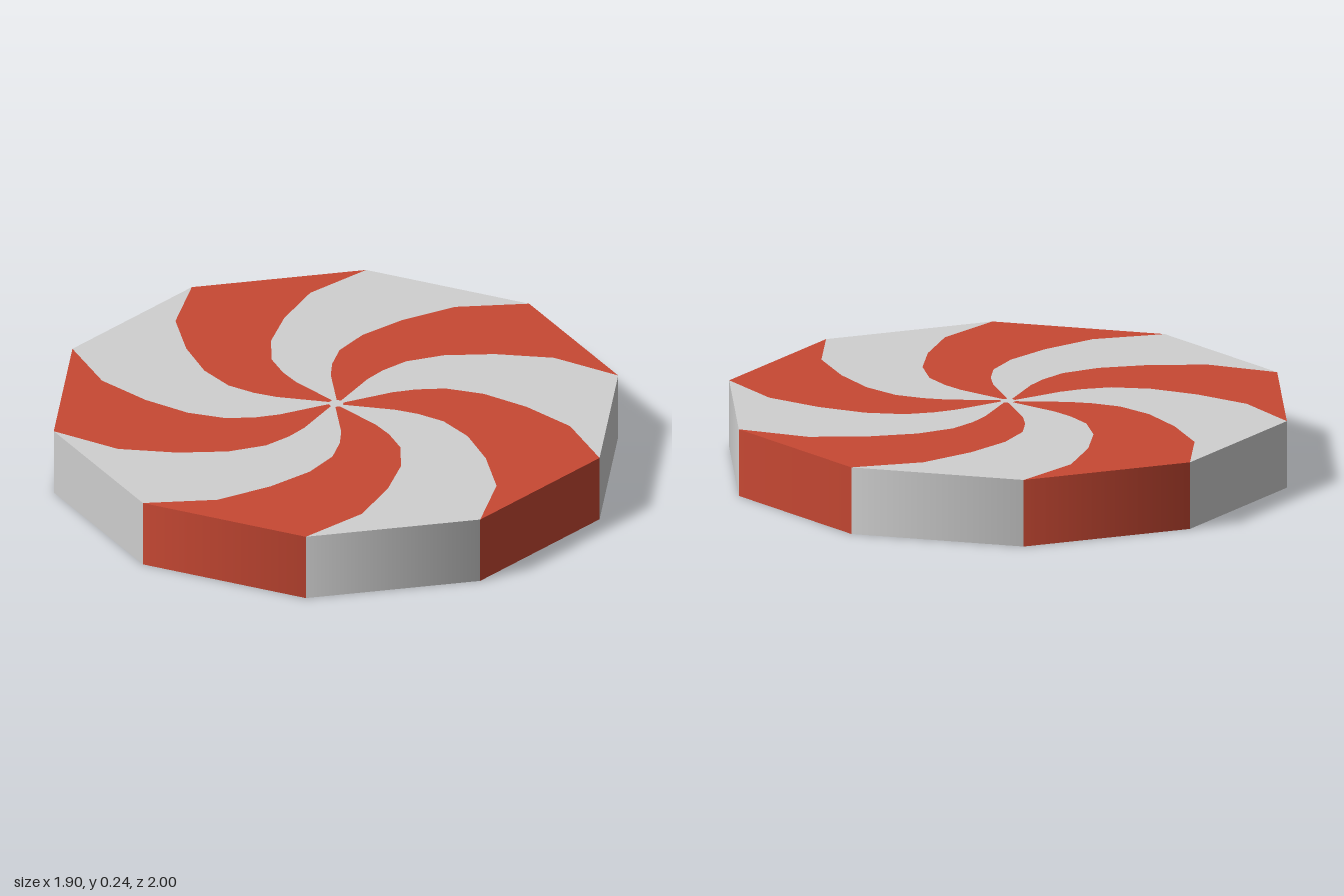
import * as THREE from 'three';

const HEIGHT = 0.24;
const SIDES = 10;
const STEP = (Math.PI * 2) / SIDES;

// Swirl edge from rim corner to hub, as (x, z)
const EDGE = [
  [0, -1], [-0.175, -0.81], [-0.245, -0.614], [-0.273, -0.44],
  [-0.256, -0.302], [-0.207, -0.21], [-0.155, -0.145], [-0.016, -0.021],
];

// Swirl edge turned about the centre by i steps
function edge(i) {
  const c = Math.cos(i * STEP), s = Math.sin(i * STEP);
  return EDGE.map(([x, z]) => [x * c - z * s, x * s + z * c]);
}

// Flat face on the top (up = 1) or bottom (up = -1) of the disc
function plate(points, up, material, name) {
  const shape = new THREE.Shape(points.map(([x, z]) => new THREE.Vector2(x, -z * up)));
  const geometry = new THREE.ShapeGeometry(shape);
  geometry.rotateX((-up * Math.PI) / 2);
  geometry.translate(0, up > 0 ? HEIGHT : 0, 0);
  const mesh = new THREE.Mesh(geometry, material);
  mesh.name = name;
  return mesh;
}

export function createModel() {
  const red = new THREE.MeshStandardMaterial({ color: 0xc74833 });
  red.name = 'red';
  const grey = new THREE.MeshStandardMaterial({ color: 0xd0d0d0 });
  grey.name = 'lightGrey';

  const model = new THREE.Group();
  model.name = 'swirlDisc';

  // Ten-sided rim, panels alternating in colour
  const rimGeometry = new THREE.CylinderGeometry(1, 1, HEIGHT, SIDES, 1, true);
  rimGeometry.translate(0, HEIGHT / 2, 0);
  rimGeometry.clearGroups();
  for (let i = 0; i < SIDES; i++) rimGeometry.addGroup(i * 6, 6, i % 2);
  const rim = new THREE.Mesh(rimGeometry, [red, grey]);
  rim.name = 'rim';
  model.add(rim);

  // Curved blades and small hub on both faces
  for (const up of [1, -1]) {
    const face = new THREE.Group();
    face.name = up > 0 ? 'topFace' : 'bottomFace';
    const hub = [];
    for (let i = 0; i < SIDES; i++) {
      const start = edge(i);
      const outline = [...start, ...edge(i + 1).reverse()];
      const isRed = i % 2 === 0;
      face.add(plate(outline, up, isRed ? red : grey, isRed ? 'redBlade' : 'greyBlade'));
      hub.push(start[start.length - 1]);
    }
    face.add(plate(hub, up, grey, 'hub'));
    model.add(face);
  }
  return model;
}
